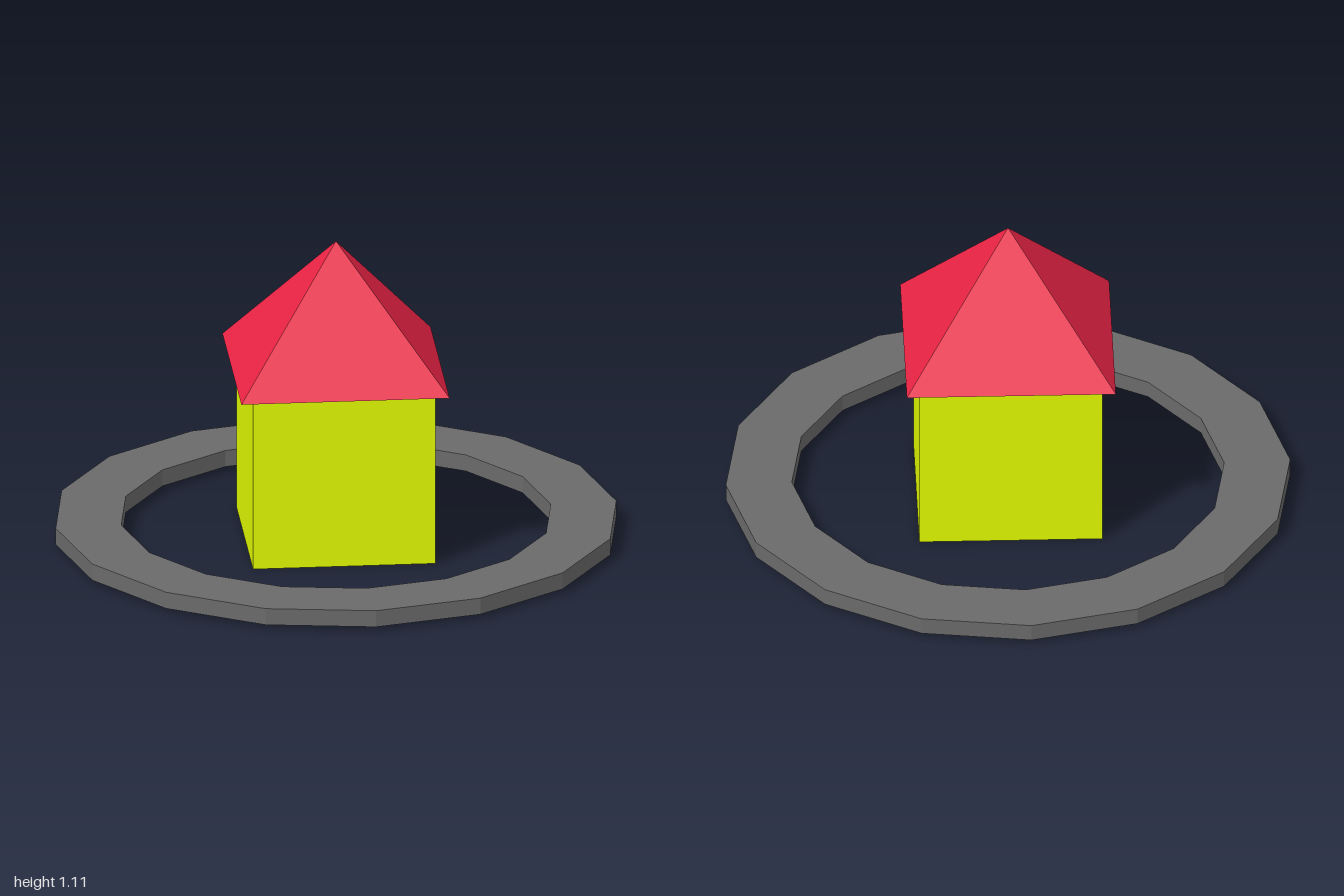
import * as THREE from 'three';

const material = (color) =>
  new THREE.MeshStandardMaterial({ color, flatShading: true, side: THREE.DoubleSide });

function part(name, geometry, color, y = 0) {
  const mesh = new THREE.Mesh(geometry, material(color));
  mesh.name = name;
  mesh.position.y = y;
  return mesh;
}

export function createModel() {
  const model = new THREE.Group();
  model.name = 'hutInRing';

  // Square hut, turned on its vertical axis: open-ended walls reaching just inside an overhanging pyramid roof
  const wallHeight = 0.654, eaves = 0.636, roofHeight = 0.469;
  const hut = new THREE.Group();
  hut.name = 'hut';
  hut.rotation.y = THREE.MathUtils.degToRad(-25.4);
  hut.add(
    part('walls', new THREE.CylinderGeometry(0.458, 0.458, wallHeight, 4, 1, true), 0xe2fc00, wallHeight / 2),
    part('roof', new THREE.ConeGeometry(0.522, roofHeight, 4, 1, true), 0xea2345, eaves + roofHeight / 2),
  );
  model.add(hut);

  // Sixteen-sided ring around the hut: outer wall, flat top and inner wall, open underneath
  const inner = 0.766, outer = 1, bottom = 0.016, top = 0.077;
  const section = [[outer, bottom], [outer, top], [inner, top], [inner, bottom]]
    .map(([x, y]) => new THREE.Vector2(x, y));
  model.add(part('ring', new THREE.LatheGeometry(section, 16), 0x6a6a6a));

  return model;
}
